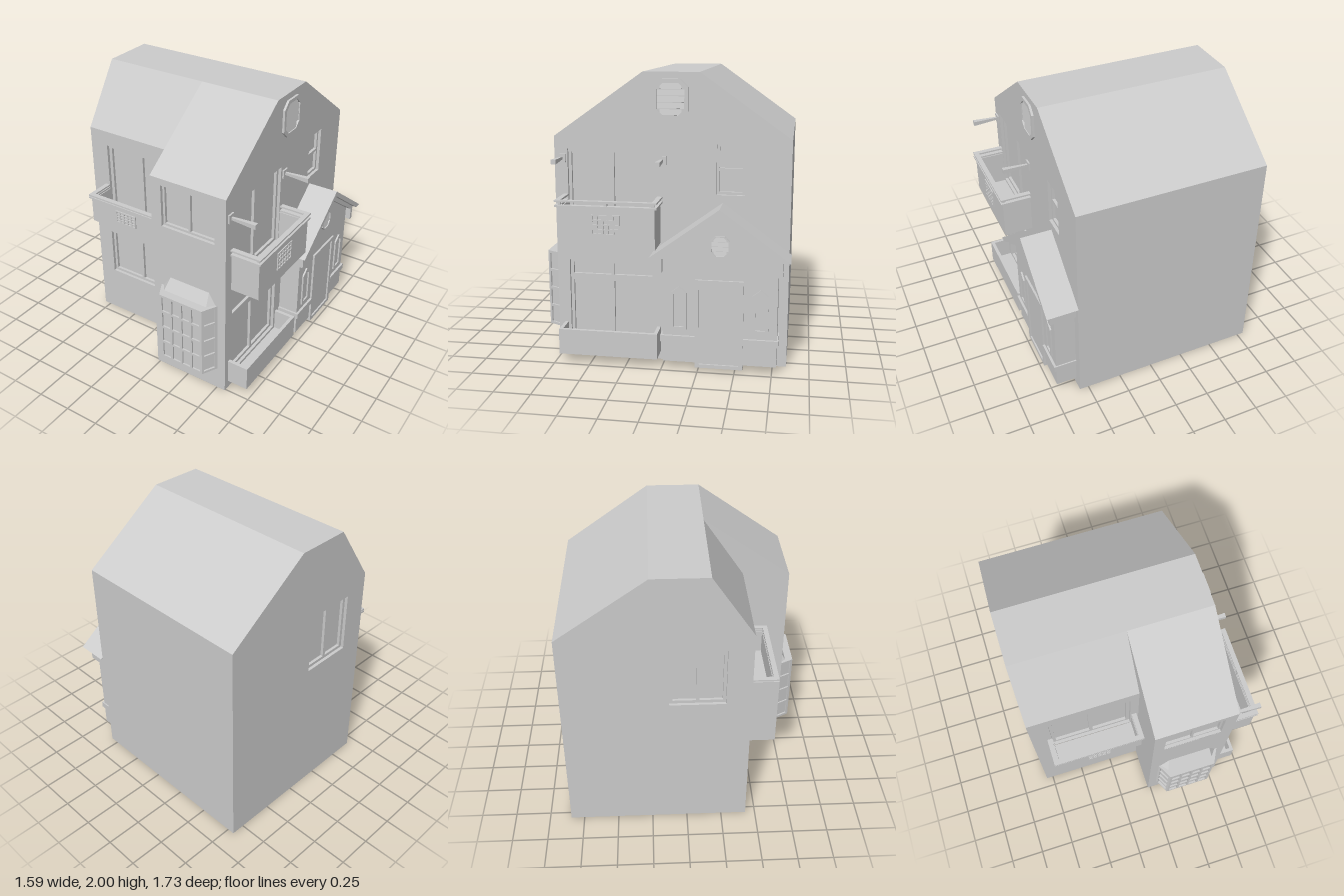
import * as THREE from 'three';

const mat = new THREE.MeshStandardMaterial({ color: 0xcccccc, flatShading: true, side: THREE.DoubleSide });

function add(parent, name, geo, x = 0, y = 0, z = 0) {
  const m = new THREE.Mesh(geo, mat);
  m.name = name;
  m.position.set(x, y, z);
  parent.add(m);
  return m;
}
const toShape = (pts, holes = []) => {
  const s = new THREE.Shape(pts.map(p => new THREE.Vector2(...p)));
  s.holes = holes.map(h => new THREE.Path(h.map(p => new THREE.Vector2(...p))));
  return s;
};
const rect = (x0, y0, x1, y1) => [[x0, y0], [x1, y0], [x1, y1], [x0, y1]];
const octagon = (x, y, w, h, c) => [
  [x - w + c, y - h], [x + w - c, y - h], [x + w, y - h + c], [x + w, y + h - c],
  [x + w - c, y + h], [x - w + c, y + h], [x - w, y + h - c], [x - w, y - h + c]];

// Flat wall with openings, and a plate extruded outwards from depth z
const wall = (p, name, pts, holes) => add(p, name, new THREE.ShapeGeometry(toShape(pts, holes)));
const plate = (p, name, pts, holes, depth, z = 0) =>
  add(p, name, new THREE.ExtrudeGeometry(toShape(pts, holes), { depth, bevelEnabled: false }), 0, 0, z);
// Box given by its corner ranges
const box = (p, name, x0, x1, y0, y1, z0, z1) =>
  add(p, name, new THREE.BoxGeometry(x1 - x0, y1 - y0, z1 - z0), (x0 + x1) / 2, (y0 + y1) / 2, (z0 + z1) / 2);

function polygon(p, name, ...pts) {
  const g = new THREE.BufferGeometry();
  g.setAttribute('position', new THREE.Float32BufferAttribute(pts.flat(), 3));
  g.setIndex(pts.length === 4 ? [0, 1, 2, 0, 2, 3] : [0, 1, 2]);
  g.computeVertexNormals();
  return add(p, name, g);
}
// Evenly spaced openings inside a rectangle
function panes(x0, y0, x1, y1, nx, ny, bar) {
  const out = [], w = (x1 - x0 - bar) / nx, h = (y1 - y0 - bar) / ny;
  for (let i = 0; i < nx; i++) for (let j = 0; j < ny; j++)
    out.push(rect(x0 + bar + i * w, y0 + bar + j * h, x0 + (i + 1) * w, y0 + (j + 1) * h));
  return out;
}
function face(parent, name, x, z, turn) {
  const g = new THREE.Group();
  g.name = name;
  g.position.set(x, 0, z);
  g.rotation.y = turn;
  parent.add(g);
  return g;
}
// Recessed window: reveal, frame with pane openings, glass
function windowUnit(p, name, r, holes) {
  const [x0, y0, x1, y1] = r, e = 0.008;
  plate(p, name + 'Reveal', rect(x0 - e, y0 - e, x1 + e, y1 + e), [rect(...r)], 0.047, -0.05);
  plate(p, name + 'Frame', rect(...r), holes, 0.02, -0.045);
  plate(p, name + 'Glass', rect(...r), [], 0.005, -0.052);
}
// Open-topped box standing out from a wall
function trough(p, name, u0, u1, y0, y1, d, t) {
  box(p, name + 'Floor', u0, u1, y0, y0 + t, 0, d);
  box(p, name + 'Front', u0, u1, y0, y1, d - t, d);
  for (const u of [u0, u1 - t]) box(p, name + 'Side', u, u + t, y0, y1, 0, d);
}
function balcony(p, u0, u1, y0, y1, d, rails, grille) {
  trough(p, 'balcony', u0, u1, y0, y1, d, 0.025);
  const o = 0.014, w = 0.035;
  for (const y of rails) {
    box(p, 'balconyRail', u0 - o, u1 + o, y, y + 0.012, d + o - w, d + o);
    for (const u of [u0 - o, u1 + o - w]) box(p, 'balconyRail', u, u + w, y, y + 0.012, 0, d + o);
  }
  const top = rails[rails.length - 1];
  for (const u of [u0 + 0.005, (u0 + u1) / 2 - 0.01, u1 - 0.025])
    box(p, 'railPost', u, u + 0.02, y1 - 0.01, top, d - 0.022, d - 0.002);
  plate(p, 'balconyGrille', rect(...grille), panes(...grille, 5, 4, 0.008), 0.008, d);
}
function vent(p, x, y, w, h, c, rim, z, slats) {
  plate(p, 'ventRim', octagon(x, y, w, h, c), [octagon(x, y, w - rim, h - rim, c - rim * 0.4)], 0.016, z);
  const ih = h - rim;
  for (let i = 0; i < slats; i++) {
    const sy = y - ih + (i + 0.5) * 2 * ih / slats;
    const inset = i === 0 || i === slats - 1 ? c * 0.4 : 0;
    const s = add(p, 'ventSlat', new THREE.BoxGeometry(2 * (w - rim - inset), 1.8 * ih / slats, 0.003), x, sy, z + 0.006);
    s.rotation.x = -0.2;
  }
}

export function createModel() {
  const house = new THREE.Group();
  house.name = 'house';
  const L = -0.8, M = -0.02, R = 0.565, F = 0.76, S = 0.43, B = -0.845;
  const eave = 1.565, eaveL = 1.575;
  const wing = face(house, 'wingFront', 0, F, 0);
  const left = face(house, 'recessedFront', 0, S, 0);
  const right = face(house, 'entranceSide', R, 0, Math.PI / 2);
  const west = face(house, 'leftSide', L, 0, -Math.PI / 2);
  const inner = face(house, 'wingInnerSide', M, 0, -Math.PI / 2);

  // Walls and their windows
  const wingWin = [0.06, 1.205, 0.48, 1.515];
  wall(wing, 'wingWall', rect(M, 0, R, eave), [rect(...wingWin)]);
  windowUnit(wing, 'wingWindow', wingWin, panes(...wingWin, 2, 1, 0.016));

  const upper = [-0.66, 0.95, -0.08, 1.465], lower = [-0.68, 0.36, -0.135, 0.725];
  wall(left, 'recessedWall', rect(L, 0, M, eaveL), [rect(...upper), rect(...lower)]);
  windowUnit(left, 'balconyDoor', upper, panes(...upper, 2, 1, 0.025));
  windowUnit(left, 'lowerWindow', lower, panes(...lower, 2, 1, 0.02));

  const bDoor = [-0.67, 0.88, -0.055, 1.48], ground = [-0.675, 0.1, -0.07, 0.7], small = [0.35, 1.19, 0.54, 1.53];
  wall(right, 'gableWall', [[-F, 0], [-B, 0], [-B, eave], [0.235, 2], [-0.145, 2], [-F, eave]],
    [bDoor, ground, small].map(r => rect(...r)));
  windowUnit(right, 'sideBalconyDoor', bDoor, panes(...bDoor, 2, 1, 0.022));
  windowUnit(right, 'groundWindow', ground, [
    ...panes(-0.675, 0.1, -0.07, 0.57, 2, 1, 0.022), ...panes(-0.675, 0.573, -0.07, 0.7, 2, 1, 0.022)]);
  windowUnit(right, 'smallWindow', small, panes(...small, 1, 2, 0.018));

  const westWin = [-0.12, 1.03, 0.26, 1.465];
  wall(west, 'leftGableWall', [[B, 0], [S, 0], [S, eaveL], [0.145, 2], [-0.235, 2], [B, eave]], [rect(...westWin)]);
  windowUnit(west, 'leftWindow', westWin, panes(...westWin, 2, 1, 0.022));
  wall(inner, 'wingReturnWall', [[S, 0], [F, 0], [F, eave], [0.145, 2], [S, eaveL]]);
  polygon(house, 'backWall', [R, 0, B], [L, 0, B], [L, eave, B], [R, eave, B]);
  polygon(house, 'wingFloor', [M, 0, B], [R, 0, B], [R, 0, F], [M, 0, F]);

  // Roof
  polygon(house, 'roofBack', [R, eave, B], [L, eave, B], [L, 2, -0.235], [R, 2, -0.235]);
  polygon(house, 'roofTop', [L, 2, 0.145], [R, 2, 0.145], [R, 2, -0.235], [L, 2, -0.235]);
  polygon(house, 'roofWing', [M, eave, F], [R, eave, F], [R, 2, 0.145], [M, 2, 0.145]);
  polygon(house, 'roofLeft', [L, eaveL, S], [M, eaveL, S], [M, 2, 0.145], [L, 2, 0.145]);

  // Balconies, planter, brackets and gable vent
  balcony(left, -0.68, -0.05, 0.92, 1.11, 0.18, [1.112, 1.13], [-0.455, 0.985, -0.28, 1.08]);
  balcony(right, -0.69, -0.03, 0.845, 1.12, 0.208, [1.122, 1.155], [-0.455, 0.94, -0.265, 1.075]);
  trough(right, 'planter', -0.72, -0.03, 0.06, 0.24, 0.155, 0.025);
  for (const u of [-0.71, -0.015]) {
    plate(right, 'bracketPlate', rect(u - 0.028, 1.385, u + 0.028, 1.445), [], 0.012);
    const arm = add(right, 'bracketArm', new THREE.CylinderGeometry(0.023, 0.012, 0.18, 4, 1, false, Math.PI / 4), u, 1.416, 0.1);
    arm.rotation.x = Math.PI / 2;
  }
  vent(right, 0.042, 1.823, 0.118, 0.132, 0.052, 0.025, 0, 5);

  // Entrance porch
  const c = 0.395;
  plate(right, 'porchBody', [[0.01, 0.055], [0.78, 0.055], [0.78, 0.8], [c, 1.08], [0.01, 0.8]], [], 0.15);
  plate(right, 'porchRoof', [[-0.07, 0.8], [c, 1.14], [0.86, 0.8], [0.805, 0.8], [c, 1.1], [-0.015, 0.8]], [], 0.225);
  plate(right, 'bargeboard', [[-0.02, 0.69], [-0.02, 0.8], [c, 1.1], [0.81, 0.8], [0.81, 0.69], [0.78, 0.69],
    [0.78, 0.785], [c, 1.06], [0.01, 0.785], [0.01, 0.69]], [], 0.19);
  plate(right, 'doorFrame', rect(0.23, 0.025, 0.555, 0.645), [rect(0.257, 0.05, 0.525, 0.617)], 0.165);
  plate(right, 'door', rect(0.257, 0.05, 0.525, 0.617), [], 0.153);
  for (const [a, b] of [[-0.005, 0.23], [0.555, 0.79]]) box(right, 'porchBand', a, b, 0.2, 0.245, 0, 0.167);
  const arch = (x, w, y0, y1, y2) => [[x - w, y0], [x + w, y0], [x + w, y1], [x, y2], [x - w, y1]];
  for (const x of [0.122, 0.668])
    plate(right, 'porchWindowFrame', arch(x, 0.054, 0.29, 0.55, 0.593), [arch(x, 0.034, 0.31, 0.538, 0.568)], 0.012, 0.15);
  vent(right, c, 0.877, 0.065, 0.073, 0.035, 0.008, 0.15, 4);

  // Bay window: core, three glazed sides, sloped cap and base
  const bay = new THREE.Group();
  bay.name = 'bayWindow';
  house.add(bay);
  const slab = (name, pts, y0, y1) => {
    const m = plate(bay, name, pts.map(([x, z]) => [x, -z]), [], y1 - y0);
    m.rotation.x = -Math.PI / 2;
    m.position.y = y0;
  };
  const plan = [[0.043, F], [0.1, 0.868], [0.445, 0.868], [0.502, F]];
  slab('bayCore', [[0.063, F], [0.112, 0.852], [0.433, 0.852], [0.482, F]], 0.177, 0.723);
  slab('bayTop', plan, 0.712, 0.725);
  slab('bayBottom', plan, 0.175, 0.188);
  slab('bayBase', [[0.085, F], [0.115, 0.81], [0.43, 0.81], [0.46, F]], 0.155, 0.175);
  for (let i = 0; i < 3; i++) {
    const [x0, z0] = plan[i], [x1, z1] = plan[i + 1];
    const len = Math.hypot(x1 - x0, z1 - z0);
    const side = face(bay, 'baySide', x0, z0, -Math.atan2(z1 - z0, x1 - x0));
    plate(side, 'bayMuntins', rect(0, 0.175, len, 0.725), panes(0, 0.175, len, 0.725, i === 1 ? 4 : 1, 4, 0.018), 0.012, -0.012);
  }
  const base = [[0.06, F], [0.1, 0.81], [0.445, 0.81], [0.485, F]];
  const a = [0.12, 0.81, F], b = [0.435, 0.81, F];
  const [p0, p1, p2, p3] = base.map(([x, z]) => [x, 0.725, z]);
  polygon(bay, 'bayRoof', p1, p2, b, a);
  polygon(bay, 'bayRoof', p0, p1, a);
  polygon(bay, 'bayRoof', p2, p3, b);
  return house;
}
